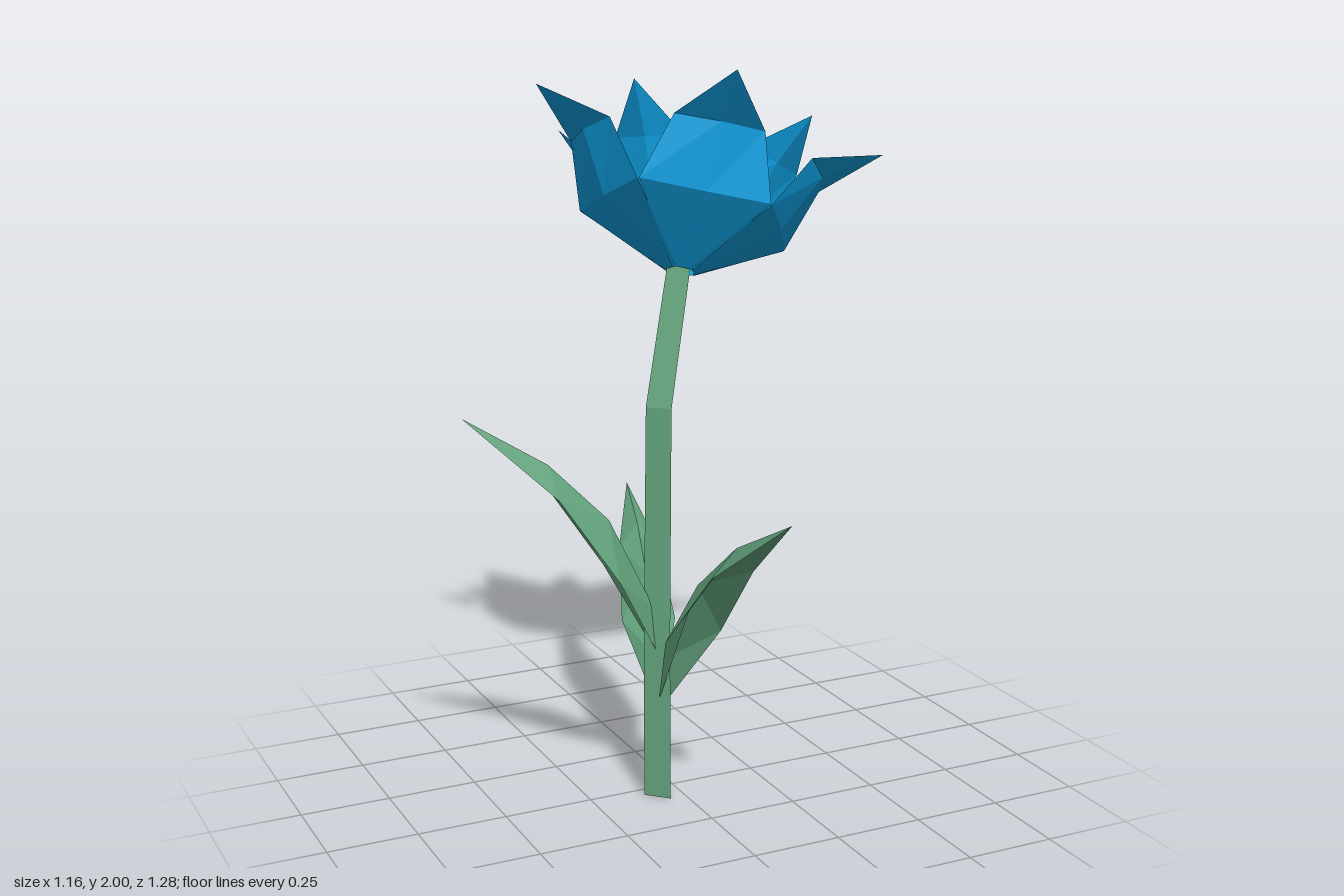
import * as THREE from 'three';

const material = (color) =>
  new THREE.MeshStandardMaterial({ color, flatShading: true, side: THREE.DoubleSide });
const green = material(0x64a57e);
const blue = material(0x0fa5e8);
const cream = material(0xeadfa8);

// Faceted skin over rows of points, all rows of equal length
function skin(rows) {
  const pos = [];
  const tri = (a, b, c) => {
    const area = new THREE.Vector3().crossVectors(b.clone().sub(a), c.clone().sub(a)).length();
    if (area > 1e-7) for (const p of [a, b, c]) pos.push(p.x, p.y, p.z);
  };
  for (let i = 0; i + 1 < rows.length; i++) {
    for (let j = 0; j + 1 < rows[i].length; j++) {
      const a = rows[i][j], b = rows[i][j + 1], c = rows[i + 1][j + 1], d = rows[i + 1][j];
      tri(a, b, c);
      tri(a, c, d);
    }
  }
  const geo = new THREE.BufferGeometry();
  geo.setAttribute('position', new THREE.Float32BufferAttribute(pos, 3));
  geo.computeVertexNormals();
  return geo;
}

function add(parent, name, geo, mat) {
  const mesh = new THREE.Mesh(geo, mat);
  mesh.name = name;
  parent.add(mesh);
  return mesh;
}

// Blade with a centre crease; each row is [midOut, midUp, edgeOut, edgeUp, halfWidth]
function blade(rows) {
  return skin(rows.map(([mo, mu, eo, eu, w]) => [
    new THREE.Vector3(-w, eu, eo),
    new THREE.Vector3(0, mu, mo),
    new THREE.Vector3(w, eu, eo),
  ]));
}

// Three-sided stem, bending near the top
function stemGeometry() {
  const path = [
    [-0.058, 0, 0.045, 0], [-0.058, 0, 0.045, 0.045], [-0.055, 0.45, 0.036, 0.044],
    [-0.036, 1.1, 0.008, 0.042], [0.06, 1.48, -0.065, 0.038],
  ];
  return skin(path.map(([x, y, z, r]) => [75, 195, 315, 75].map((deg) => {
    const t = THREE.MathUtils.degToRad(deg);
    return new THREE.Vector3(x + r * Math.cos(t), y, z + r * Math.sin(t));
  })));
}

export function createModel() {
  const model = new THREE.Group();
  model.name = 'flower';
  add(model, 'stem', stemGeometry(), green);

  // Leaves: one ridged blade, turned, pitched and scaled
  const leaf = blade([
    [0.02, 0.13, 0, 0, 0.015],
    [0.17, 0.38, 0.15, 0.23, 0.088],
    [0.35, 0.53, 0.33, 0.45, 0.067],
    [0.59, 0.65, 0.59, 0.65, 0],
  ]);
  const leaves = [
    ['sideLeaf', [-0.06, 0.41, 0.03], [-0.52, -0.075], 5.3, 1],
    ['frontLeaf', [-0.05, 0.28, 0.05], [0.07, 0.59], 0, 1],
    ['backLeaf', [-0.045, 0.27, 0], [0.175, -0.59], -11.6, 0.866],
  ];
  for (const [name, root, [dx, dz], pitch, scale] of leaves) {
    const mesh = add(model, name, leaf, green);
    mesh.position.set(...root);
    mesh.rotation.set(-THREE.MathUtils.degToRad(pitch), Math.atan2(dx, dz), 0, 'YXZ');
    mesh.scale.setScalar(scale);
  }

  // Blossom, its axis leaning right and back
  const blossom = new THREE.Group();
  blossom.name = 'blossom';
  const axis = new THREE.Vector3(0.33, 0.875, -0.355).normalize();
  const out = new THREE.Vector3(-0.113, 0.219, 0.432);
  out.addScaledVector(axis, -out.dot(axis)).normalize();
  const side = new THREE.Vector3().crossVectors(axis, out);
  blossom.quaternion.setFromRotationMatrix(new THREE.Matrix4().makeBasis(side, axis, out));
  blossom.position.set(0.055, 1.453, -0.06);
  model.add(blossom);

  // Two whorls of five petals
  const outerPetal = blade([
    [0.035, -0.005, 0.03, -0.005, 0.03],
    [0.255, 0.135, 0.245, 0.14, 0.175],
    [0.345, 0.295, 0.325, 0.3, 0.12],
    [0.497, 0.374, 0.497, 0.374, 0],
  ]);
  const innerPetal = blade([
    [0.025, 0.01, 0.02, 0.01, 0.02],
    [0.215, 0.125, 0.2, 0.13, 0.14],
    [0.3, 0.255, 0.28, 0.265, 0.1],
    [0.4, 0.37, 0.4, 0.37, 0],
  ]);
  for (let i = 0; i < 5; i++) {
    const turn = (i * 2 * Math.PI) / 5;
    add(blossom, 'outerPetal', outerPetal, blue).rotation.y = turn;
    add(blossom, 'innerPetal', innerPetal, blue).rotation.y = turn + Math.PI / 5;
  }

  // Five-sided centre
  const centre = add(blossom, 'centre', new THREE.ConeGeometry(0.125, 0.09, 5), cream);
  centre.position.y = 0.125;
  return model;
}
